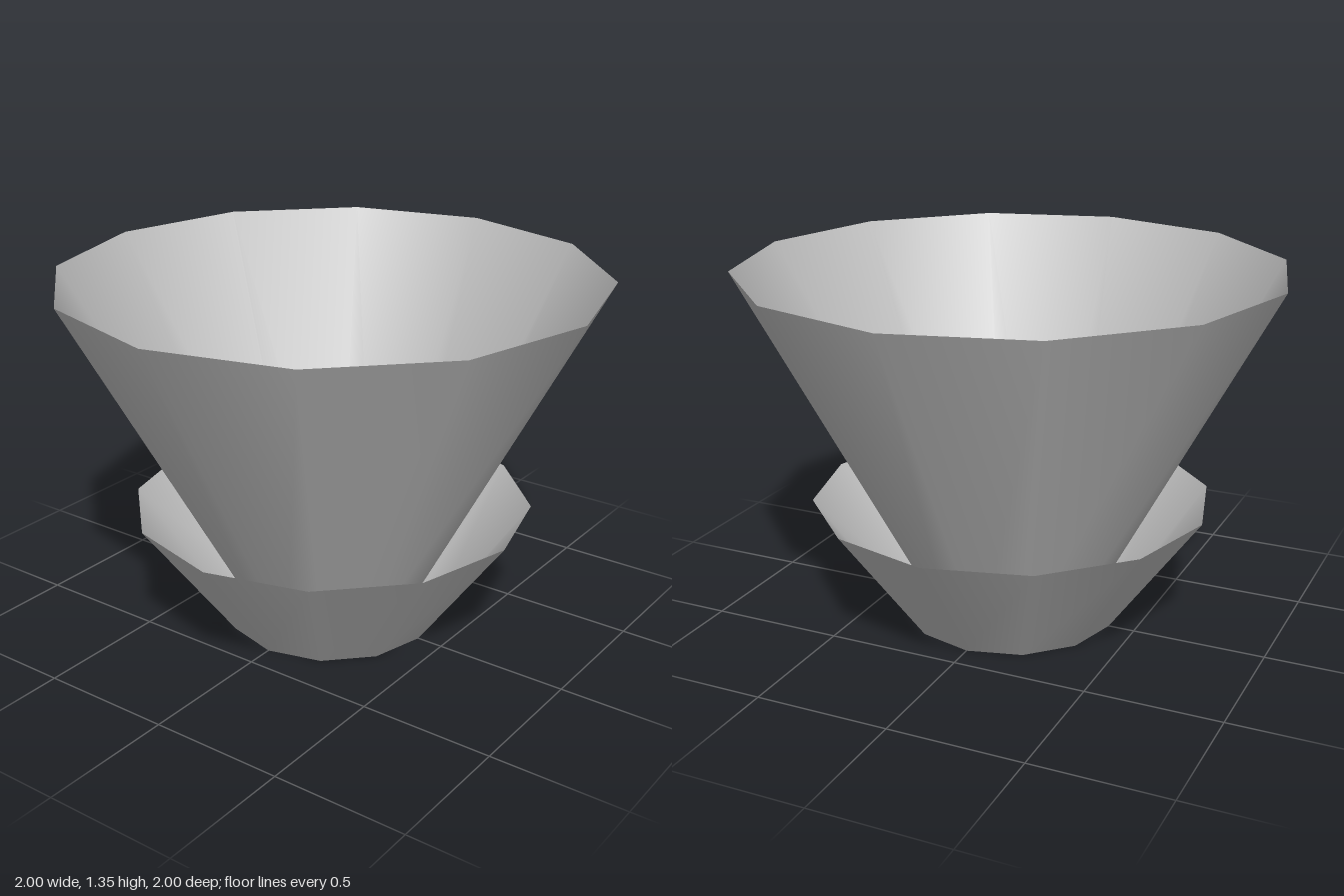
import * as THREE from 'three';

export function createModel() {
  const model = new THREE.Group();
  model.name = 'nestedFunnels';

  const grey = new THREE.MeshStandardMaterial({ color: 0xc0c0c0, side: THREE.DoubleSide });
  grey.name = 'light grey';

  // Open twelve-sided cone shell standing on y = 0
  function addShell(name, topRadius, bottomRadius, height) {
    const geometry = new THREE.CylinderGeometry(topRadius, bottomRadius, height, 12, 1, true);
    geometry.translate(0, height / 2, 0);
    const shell = new THREE.Mesh(geometry, grey);
    shell.name = name;
    model.add(shell);
  }

  // Tall inner funnel and the short collar around its foot
  addShell('innerFunnel', 1, 0.282, 1.345);
  addShell('outerCollar', 0.745, 0.4, 0.473);

  return model;
}
